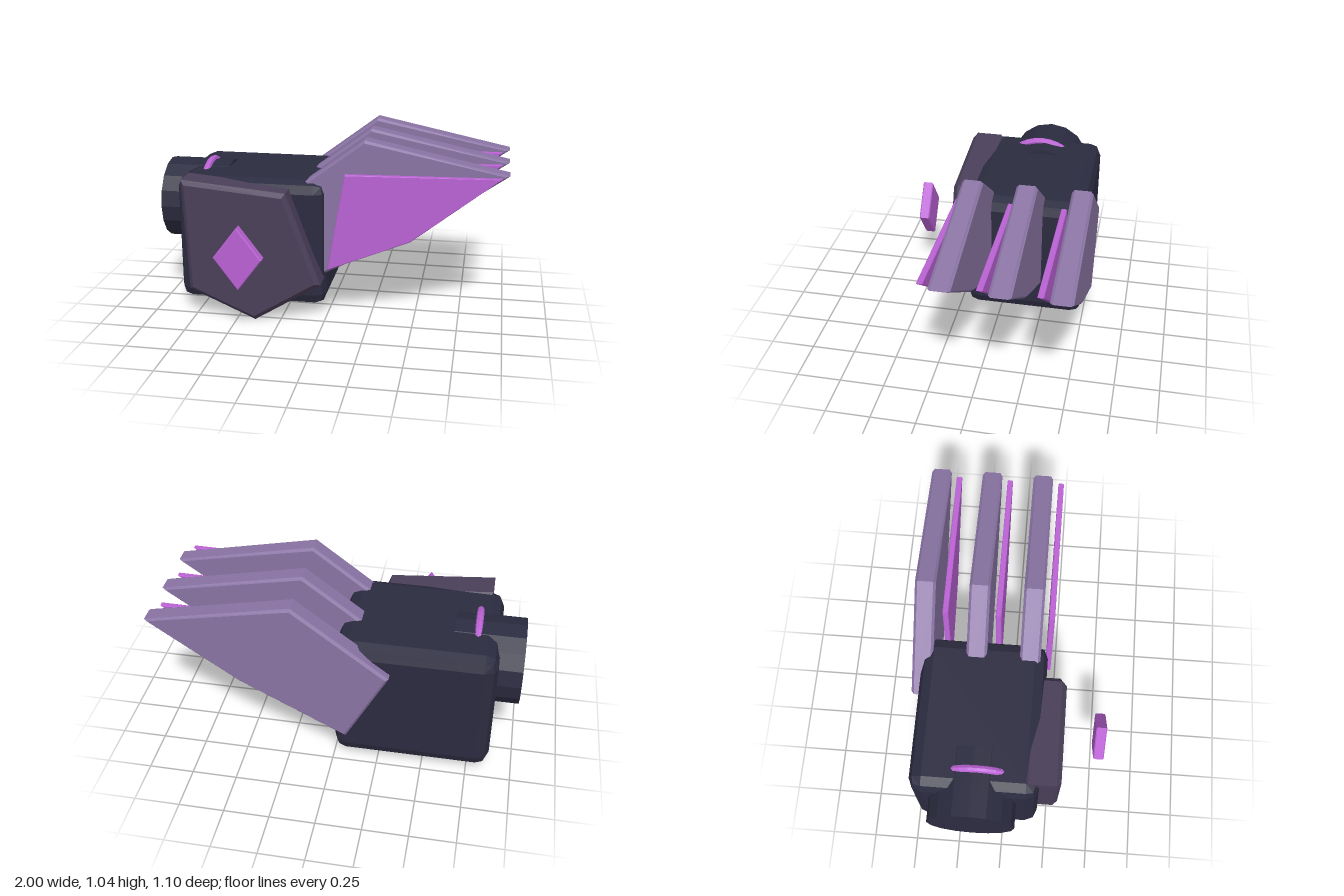
import * as THREE from 'three';
import { RoundedBoxGeometry } from 'three/addons/geometries/RoundedBoxGeometry.js';

const paint = (name, color) => {
  const m = new THREE.MeshStandardMaterial({ color, flatShading: true });
  m.name = name;
  return m;
};

// Bevelled slab: outline in x/y, spanning z0..z1
function slab(points, z0, z1, bevel) {
  const shape = new THREE.Shape(points.map(([x, y]) => new THREE.Vector2(x, y)));
  const geo = new THREE.ExtrudeGeometry(shape, {
    depth: z1 - z0 - 2 * bevel, bevelEnabled: true, bevelSegments: 1,
    bevelThickness: bevel, bevelSize: bevel, bevelOffset: -bevel,
  });
  return geo.translate(0, 0, z0 + bevel);
}

export function createModel() {
  const model = new THREE.Group();
  const dark = paint('dark navy', 0x2b2b40);
  const plum = paint('dull plum', 0x4a3f59);
  const lilac = paint('dusty lilac', 0x8a74a4);
  const orchid = paint('bright orchid', 0xba62d4);

  const add = (name, geo, mat, x = 0, y = 0, z = 0) => {
    const mesh = new THREE.Mesh(geo, mat);
    mesh.name = name;
    mesh.position.set(x, y, z);
    model.add(mesh);
    return mesh;
  };

  // Main block
  add('body', new RoundedBoxGeometry(0.865, 0.74, 0.695, 1, 0.07), dark, -0.437, 0.43, -0.152);

  // Round collar on the side and its glowing ring
  const collar = new THREE.CylinderGeometry(0.238, 0.238, 0.38, 16).rotateZ(Math.PI / 2);
  add('collar', collar, dark, -0.81, 0.583, -0.16);
  const ring = new THREE.TorusGeometry(0.24, 0.02, 8, 32).rotateY(Math.PI / 2);
  add('collarRing', ring, orchid, -0.745, 0.583, -0.135);

  // Five-sided front plate with a floating gem before it
  add('frontPlate', slab([[-0.805, 0.812], [-0.21, 0.76], [-0.015, 0.235], [-0.395, 0], [-0.775, 0.165]],
    0.11, 0.31, 0.025), plum);
  add('gem', slab([[-0.42, 0.637], [-0.555, 0.46], [-0.42, 0.28], [-0.285, 0.46]], 0.49, 0.55, 0.006), orchid);

  // Three blades, each with a thin glowing panel in front
  const blade = slab([[-0.31, 0.655], [-0.08, 0.22], [0.5, 0.525], [0.998, 0.877], [0.205, 1.043]],
    -0.057, 0.057, 0.014);
  const panel = slab([[0.012, 0.302], [0.475, 0.495], [0.955, 0.876], [0.107, 0.861]],
    -0.016, 0.016, 0.004);
  [0.098, -0.197, -0.492].forEach((z, i) => {
    add(`blade${i + 1}`, blade, lilac, 0, 0, z);
    add(`bladePanel${i + 1}`, panel, orchid, 0, 0, z + 0.105);
  });

  return model;
}
